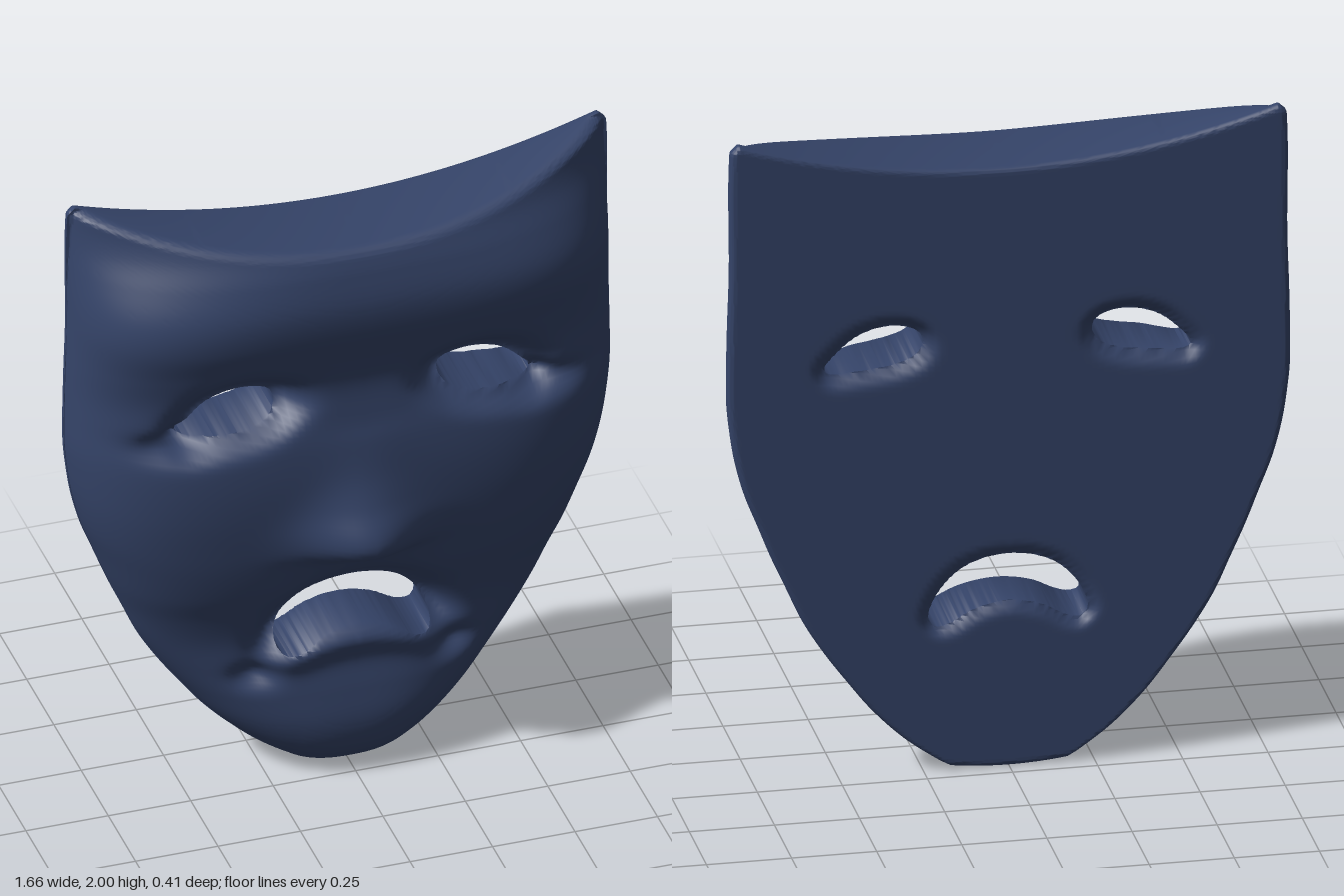
import * as THREE from 'three';
import { toCreasedNormals } from 'three/addons/utils/BufferGeometryUtils.js';

const BACK = -0.205;

// Smooth interpolation through [t, value] pairs
function curve(pts) {
  const slope = (i) => {
    const a = pts[Math.max(i - 1, 0)], b = pts[Math.min(i + 1, pts.length - 1)];
    return (b[1] - a[1]) / (b[0] - a[0]);
  };
  return (t) => {
    let i = 0;
    while (i < pts.length - 2 && t > pts[i + 1][0]) i++;
    const [t0, a] = pts[i], [t1, b] = pts[i + 1], d = t1 - t0;
    const s = THREE.MathUtils.clamp((t - t0) / d, 0, 1), s2 = s * s, s3 = s2 * s;
    return a * (2 * s3 - 3 * s2 + 1) + b * (3 * s2 - 2 * s3)
      + d * (slope(i) * (s3 - 2 * s2 + s) + slope(i + 1) * (s3 - s2));
  };
}

// Half width of the outline and depth of the centre line, by height
const halfWidth = curve([[0, 0.17], [0.025, 0.21], [0.1, 0.305], [0.2, 0.4], [0.3, 0.475], [0.4, 0.545],
  [0.5, 0.605], [0.6, 0.65], [0.7, 0.695], [0.8, 0.735], [0.9, 0.775], [1, 0.802], [1.1, 0.818],
  [1.2, 0.827], [1.4, 0.825], [1.6, 0.819], [1.975, 0.817], [2, 0.795]]);
const depth = curve([[0, 0.08], [0.02, 0.14], [0.06, 0.19], [0.12, 0.225], [0.2, 0.24], [0.3, 0.23],
  [0.4, 0.212], [0.5, 0.205], [0.6, 0.225], [0.7, 0.26], [0.8, 0.285], [0.9, 0.3], [1, 0.31], [1.1, 0.312],
  [1.2, 0.305], [1.3, 0.29], [1.4, 0.285], [1.5, 0.31], [1.6, 0.343], [1.7, 0.353], [1.8, 0.333], [1.88, 0.305], [2, 0.28]]);
const noseHeight = curve([[0.75, 0], [0.805, 0.025], [0.84, 0.085], [0.875, 0.108], [0.92, 0.098], [1, 0.05], [1.1, 0.015], [1.25, 0]]);
const topEdge = (x) => Math.min(2, 1.873 + 0.127 * (x / 0.79) ** 2);
const bottomEdge = (x) => 0.005 + 0.4 * Math.min(x * x, 0.03);

// Openings as smooth closed outlines
function opening(points) {
  const c = new THREE.CatmullRomCurve3(points.map(([x, y]) => new THREE.Vector3(x, y, 0)), true);
  return c.getPoints(64).slice(0, -1);
}
const eye = opening([[0.248, 1.335], [0.255, 1.365], [0.29, 1.387], [0.36, 1.395], [0.44, 1.372], [0.5, 1.325],
  [0.54, 1.275], [0.53, 1.26], [0.43, 1.262], [0.33, 1.275], [0.27, 1.3]]);
const mouth = opening([[-0.235, 0.475], [-0.21, 0.55], [-0.13, 0.63], [0, 0.662], [0.13, 0.63], [0.21, 0.55], [0.235, 0.475],
  [0.215, 0.45], [0.175, 0.455], [0.1, 0.495], [0, 0.515], [-0.1, 0.495], [-0.175, 0.455], [-0.215, 0.45]]);

// Signed distance to an outline, negative inside
function distance(poly, x, y) {
  let best = Infinity, inside = false;
  poly.forEach((a, i) => {
    const b = poly[(i + 1) % poly.length], ex = b.x - a.x, ey = b.y - a.y;
    const t = THREE.MathUtils.clamp(((x - a.x) * ex + (y - a.y) * ey) / (ex * ex + ey * ey), 0, 1);
    best = Math.min(best, Math.hypot(x - a.x - t * ex, y - a.y - t * ey));
    if ((a.y > y) !== (b.y > y) && x < a.x + (ex * (y - a.y)) / ey) inside = !inside;
  });
  return inside ? -best : best;
}

const bump = (x, y, cx, cy, rx, ry) => Math.exp(-(((x - cx) / rx) ** 2) - ((y - cy) / ry) ** 2);
const falloff = (d, width) => Math.exp(-((Math.max(d, 0) / width) ** 2));
const smooth = THREE.MathUtils.smoothstep;
// Drop of a rounded edge at distance d from it
const fillet = (d, r) => r - Math.sqrt(Math.max(0, r * r - (r - THREE.MathUtils.clamp(d, 0, r)) ** 2));

// Point on the face: [x, y, front z, distance to the nearest opening, back z]
function facePoint(u, v) {
  const w = halfWidth(2 * v), x = u * w, ax = Math.abs(x);
  const low = bottomEdge(x), top = topEdge(x), y = low + v * (top - low);
  const brow = smooth(y, 1.6, 1.95), chin = 1 - smooth(y, 0.1, 0.7);
  const p = 4.3 - 2.2 * brow - 1.9 * chin, q = 0.52 + 0.13 * brow + 0.03 * chin;
  let h = depth(y) * Math.max(0, 1 - Math.abs(u) ** p) ** q;
  const dEye = distance(eye, ax, y), dMouth = distance(mouth, x, y);

  // Nose
  const noseWidth = 0.165 - 0.06 * smooth(y, 0.9, 1.15);
  h += noseHeight(y) * Math.exp(-((x / noseWidth) ** 2));
  // Eye sockets, deeper under the brow and towards the outer corner
  const upper = smooth(y, 1.24, 1.36);
  h -= (0.05 + 0.035 * upper) * falloff(dEye, 0.035 + 0.025 * upper);
  h -= 0.06 * bump(ax, y, 0.56, 1.262, 0.1, 0.04) + 0.02 * bump(ax, y, 0.21, 1.37, 0.06, 0.06);
  // Sunken upper lip, downturned lower lip and mouth corners
  const lip = 0.472 - 0.95 * x * x, above = smooth(y, lip, lip + 0.13);
  h -= 0.085 * above * falloff(dMouth, 0.06);
  h += 0.034 * Math.exp(-(((y - lip) / 0.05) ** 2)) * (1 - smooth(ax, 0.12, 0.36));
  h -= 0.045 * bump(ax, y, 0.295, 0.385, 0.06, 0.04);
  // Rounded top edge
  h -= fillet(top - y, 0.03);

  // Back: rounded rim, slightly eased around the openings
  const front = BACK + Math.max(h, 0.03);
  const edge = Math.min((1 - Math.abs(u)) * w, top - y, y - low);
  const ease = 0.035 * falloff(dEye, 0.022) + 0.025 * falloff(dMouth, 0.018);
  return [x, y, front, Math.min(dEye, dMouth), BACK + fillet(edge, 0.018) + ease];
}

function maskGeometry() {
  const cols = 130, rows = 190, pos = [], grid = [];
  for (let j = 0; j <= rows; j++) {
    const s = j / rows, v = s - 0.12 * Math.sin(2 * Math.PI * s);
    grid.push([]);
    for (let i = 0; i <= cols; i++) grid[j].push(facePoint(Math.sin((i / cols - 0.5) * Math.PI), v));
  }
  const back = (p) => [p[0], p[1], p[4]];
  const tri = (...corners) => corners.forEach((c) => pos.push(c[0], c[1], c[2]));
  const wall = (p, q) => {
    tri(q, p, back(p));
    tri(q, back(p), back(q));
  };

  // Front and back triangle, cut along the openings
  const addCut = (...t) => {
    const out = [], cut = [];
    t.forEach((a, k) => {
      const b = t[(k + 1) % 3];
      if (a[3] > 0) out.push(a);
      if (a[3] > 0 !== b[3] > 0) {
        const s = a[3] / (a[3] - b[3]), m = a.map((n, d) => n + (b[d] - n) * s);
        out.push(m);
        cut.push({ m, leaving: a[3] > 0 });
      }
    });
    for (let k = 1; k < out.length - 1; k++) {
      tri(out[0], out[k], out[k + 1]);
      tri(back(out[0]), back(out[k + 1]), back(out[k]));
    }
    if (cut.length === 2) {
      const first = cut[0].leaving ? 0 : 1;
      wall(cut[first].m, cut[1 - first].m);
    }
  };
  for (let j = 0; j < rows; j++) {
    for (let i = 0; i < cols; i++) {
      const a = grid[j][i], b = grid[j][i + 1], c = grid[j + 1][i + 1], d = grid[j + 1][i];
      if (i < cols / 2) { addCut(a, b, d); addCut(b, c, d); }
      else { addCut(a, b, c); addCut(a, c, d); }
    }
  }
  // Outer rim
  for (let i = 0; i < cols; i++) {
    wall(grid[0][i], grid[0][i + 1]);
    wall(grid[rows][i + 1], grid[rows][i]);
  }
  for (let j = 0; j < rows; j++) {
    wall(grid[j][cols], grid[j + 1][cols]);
    wall(grid[j + 1][0], grid[j][0]);
  }
  const g = new THREE.BufferGeometry();
  g.setAttribute('position', new THREE.Float32BufferAttribute(pos, 3));
  return toCreasedNormals(g, 1.1);
}

export function createModel() {
  const group = new THREE.Group();
  group.name = 'tragedyMask';
  const navy = new THREE.MeshStandardMaterial({ color: 0x354469 });
  navy.name = 'navyBlue';
  const mask = new THREE.Mesh(maskGeometry(), navy);
  mask.name = 'maskFace';
  group.add(mask);
  return group;
}
